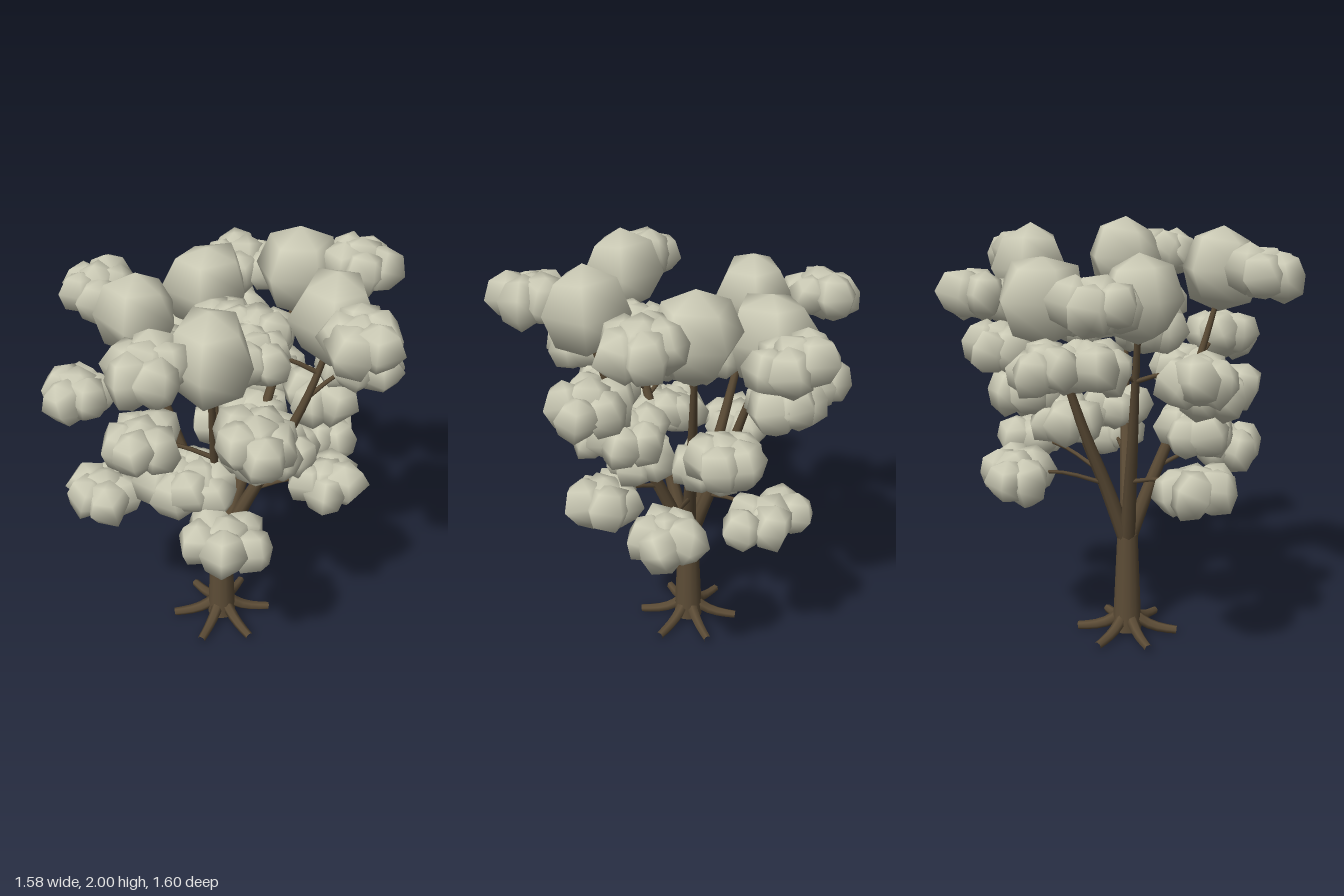
import * as THREE from 'three';

const bark = new THREE.MeshStandardMaterial({ color: 0x5c4c36 });
const leaf = new THREE.MeshStandardMaterial({ color: 0xcccbb6 });
const V = (x, y, z) => new THREE.Vector3(x, y, z);
const CX = -0.025, CZ = 0.05; // trunk axis

let seed = 7;
function rand(a, b) {
  seed = (seed * 16807) % 2147483647;
  return a + (b - a) * (seed / 2147483647);
}

function add(parent, name, geometry, material) {
  const mesh = new THREE.Mesh(geometry, material);
  mesh.name = name;
  parent.add(mesh);
  return mesh;
}

// Tube that narrows linearly from r0 to r1, closed by a fan at its far end
function taperedTube(curve, r0, r1, segments, sides) {
  const geo = new THREE.TubeGeometry(curve, segments, 1, sides);
  const pos = geo.attributes.position, p = V(0, 0, 0);
  for (let i = 0; i <= segments; i++) {
    const c = curve.getPointAt(i / segments);
    const r = r0 + (r1 - r0) * i / segments;
    for (let j = 0; j <= sides; j++) {
      const k = i * (sides + 1) + j;
      p.fromBufferAttribute(pos, k).sub(c).multiplyScalar(r).add(c);
      pos.setXYZ(k, p.x, p.y, p.z);
    }
  }
  const index = Array.from(geo.index.array), last = segments * (sides + 1);
  for (let j = 1; j < sides - 1; j++) index.push(last, last + j, last + j + 1);
  geo.setIndex(index);
  return geo;
}

// Coarse, smooth-shaded five-sided balls of foliage, each unevenly swollen
const balls = [0, 2, 4].map((k) => {
  const geo = new THREE.SphereGeometry(1, 5, 4);
  const pos = geo.attributes.position, p = V(0, 0, 0);
  for (let i = 0; i < pos.count; i++) {
    p.fromBufferAttribute(pos, i);
    p.multiplyScalar(1.03 + 0.09 * Math.sin(4 * p.x + 3 * p.y + 5 * p.z + k));
    pos.setXYZ(i, p.x, p.y, p.z);
  }
  return geo;
});
function puff(parent, name, center, r, turn, tilt) {
  const mesh = add(parent, name, balls[Math.floor(rand(0, 2.999))], leaf);
  mesh.position.copy(center);
  mesh.rotation.set(rand(-tilt, tilt), turn, rand(-tilt, tilt));
  mesh.scale.setScalar(r);
}

// Crown balls at the limb tips: x, y, z, radius, direction of a corner
const crowns = [
  [0.01, 1.785, 0.49, 0.19, 1.57], [0.46, 1.81, 0.11, 0.19, 1.57], [-0.4, 1.705, 0.03, 0.185, -0.9],
  [-0.16, 1.68, -0.36, 0.2, 1.57], [0.26, 1.785, -0.36, 0.19, -1.57],
];

// Leaf cluster centres: x, y, z, then optional spread along x and z
const clusters = [
  [-0.03, 1.69, -0.62, 1.3], [0.53, 1.83, -0.38], [0.59, 1.48, -0.08, 1.3], [0.58, 1.82, 0.34],
  [-0.63, 1.71, -0.17, 1, 1.2], [-0.62, 1.4, 0.23], [-0.31, 1.28, 0.4, 1, 1.2], [-0.2, 1.79, 0.63],
  [0.2, 1.45, 0.56], [0.2, 1.29, 0.37], [0.14, 1.62, 0.18], [-0.17, 1.56, 0.12],
  [-0.02, 1.6, -0.13], [0.12, 1.62, -0.05], [0.46, 0.92, 0.04], [0.42, 0.91, -0.36],
  [-0.06, 0.87, -0.48, 1.9], [0.08, 0.92, 0.55, 1.5], [-0.53, 0.9, 0.27, 1.1, 1.1],
  [-0.17, 1.07, 0.34], [-0.06, 1.08, 0.37], [0.27, 1.09, 0.03], [0.1, 1.09, -0.24], [0.41, 1.29, -0.11],
  [0.14, 1.21, -0.41], [-0.08, 1.47, -0.54], [-0.4, 1.42, -0.36], [-0.4, 1.42, -0.16],
];

export function createModel() {
  const tree = new THREE.Group();
  tree.name = 'tree';

  // Trunk
  const trunk = add(tree, 'trunk', new THREE.CylinderGeometry(0.05, 0.072, 0.5, 12), bark);
  trunk.position.set(CX, 0.28, CZ);

  // Roots spreading round the base
  const roots = new THREE.Group();
  roots.name = 'roots';
  tree.add(roots);
  for (let i = 0; i < 6; i++) {
    const a = Math.PI / 4 + i * Math.PI / 3;
    const at = (r, y) => V(CX + Math.cos(a) * r, y, CZ + Math.sin(a) * r);
    const path = new THREE.CatmullRomCurve3([at(0.03, 0.11), at(0.09, 0.065), at(0.16, 0.04), at(0.245, 0.03)]);
    add(roots, 'root', taperedTube(path, 0.03, 0.02, 5, 6), bark);
  }

  // Limbs fanning out from the trunk to the crown balls
  const limbs = new THREE.Group();
  limbs.name = 'limbs';
  tree.add(limbs);
  const paths = crowns.map(([x, y, z]) => {
    const dx = x - CX, dz = z - CZ;
    const at = (t, h) => V(CX + dx * t, h, CZ + dz * t);
    const path = new THREE.CatmullRomCurve3([at(0.02, 0.5), at(0.25, 0.77), at(0.52, 1.06), at(0.8, 1.4), at(1, y - 0.08)]);
    add(limbs, 'limb', taperedTube(path, 0.038, 0.011, 16, 8), bark);
    return path;
  });

  // Crown balls
  const crown = new THREE.Group();
  crown.name = 'crown';
  tree.add(crown);
  for (const [x, y, z, r, corner] of crowns) {
    puff(crown, 'crownBall', V(x, y, z), r, Math.PI - corner, 0.1);
  }

  // Leaf clusters, each carried by a twig from the closest limb
  for (const [x, y, z, spreadX = 1, spreadZ = 1] of clusters) {
    const center = V(x, y, z), cluster = new THREE.Group();
    cluster.name = 'leafCluster';
    tree.add(cluster);

    let start = null;
    for (const path of paths) {
      for (const p of path.getPoints(40)) {
        if (p.y > y - 0.06 || p.y < y - 0.3) continue;
        if (!start || p.distanceTo(center) < start.distanceTo(center)) start = p;
      }
    }
    const bend = start.clone().lerp(center, 0.5);
    bend.y += 0.03;
    const twig = new THREE.CatmullRomCurve3([start, bend, center]);
    add(cluster, 'twig', taperedTube(twig, 0.012, 0.007, 6, 5), bark);

    puff(cluster, 'leafBall', V(x, y + 0.005, z), 0.115, rand(0, 6.28), 0.3);
    const phase = rand(0, 6.28);
    for (let i = 0; i < 5; i++) {
      const a = phase + i * Math.PI * 0.4, d = rand(0.07, 0.09);
      const c = V(x + Math.cos(a) * d * spreadX, y + rand(-0.02, 0.02), z + Math.sin(a) * d * spreadZ);
      puff(cluster, 'leafBall', c, rand(0.095, 0.112), rand(0, 6.28), 0.3);
    }
  }
  return tree;
}
